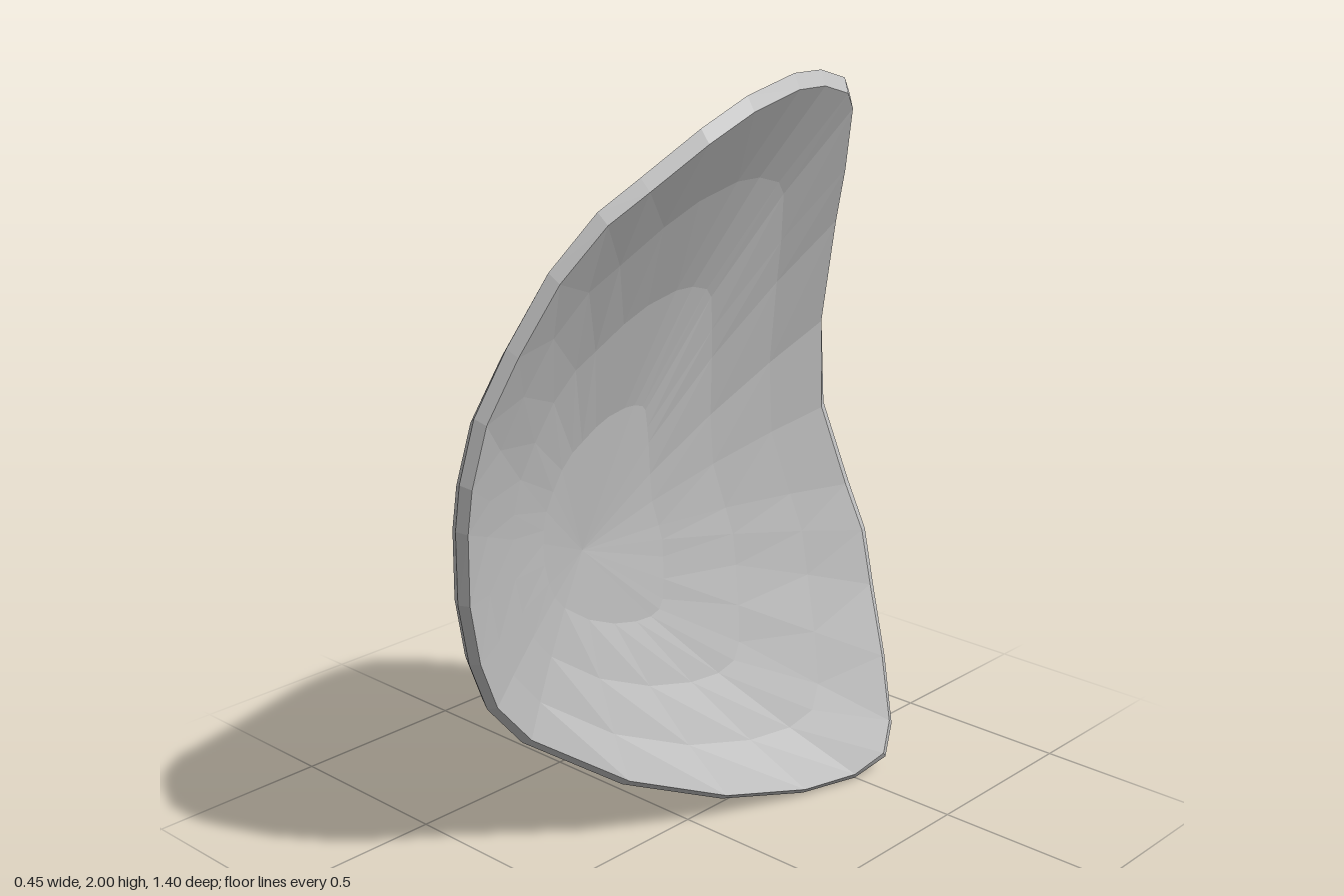
import * as THREE from 'three';

// Rim of the shell, counter-clockwise seen from +x: [z, y, x, rim thickness factor]
const RIM = [
  [-0.32, 1.995, 0.15, 1], [-0.2, 2, 0.165, 1], [0, 1.97, 0.19, 1], [0.15, 1.91, 0.18, 1],
  [0.3, 1.81, 0.13, 1], [0.4, 1.74, 0.09, 1], [0.51, 1.61, 0.04, 1], [0.6, 1.44, -0.01, 1],
  [0.67, 1.28, -0.05, 1], [0.7, 1.12, -0.075, 1], [0.7, 1, -0.095, 1], [0.68, 0.8, -0.12, 1],
  [0.63, 0.62, -0.145, 1], [0.56, 0.47, -0.165, 1], [0.45, 0.34, -0.16, 1], [0.2, 0.165, -0.05, 1],
  [-0.08, 0.05, 0.05, 1], [-0.33, 0, 0.13, 0.8], [-0.5, 0, 0.18, 0.6], [-0.6, 0.04, 0.21, 0.4],
  [-0.65, 0.12, 0.19, 0.4], [-0.68, 0.3, 0.135, 0.4], [-0.7, 0.5, 0.07, 0.4], [-0.7, 0.66, 0.035, 0.4],
  [-0.67, 0.8, -0.005, 0.4], [-0.6, 1.04, -0.045, 0.5], [-0.57, 1.3, -0.035, 0.7],
  [-0.53, 1.6, 0.03, 1], [-0.5, 1.75, 0.08, 1], [-0.46, 1.92, 0.13, 1], [-0.42, 1.965, 0.145, 1],
];
const CENTRE = { y: 0.8, z: 0.22 };

// Rings from the middle of the hollow face, over the rim, to the middle of the back:
// [distance from the middle, side: 1 hollow, 0 rim crest, -1 back]
const RINGS = [
  [0, 1], [0.3, 1], [0.55, 1], [0.78, 1], [0.97, 1], [1, 0],
  [0.955, -1], [0.78, -1], [0.55, -1], [0.3, -1], [0, -1],
];

function ringPoint([t, side], [z, y, x, w]) {
  let px = x;
  if (side !== 0) {
    const middle = side > 0 ? -0.165 : -0.228;
    const edge = side > 0 ? x + 0.028 * w : x - 0.036 * w;
    const end = side > 0 ? 0.97 : 0.955;
    px = middle + (edge - middle) * (t / end) ** 2;
  }
  return [px, CENTRE.y + (y - CENTRE.y) * t, CENTRE.z + (z - CENTRE.z) * t];
}

function shellGeometry() {
  const n = RIM.length;
  const positions = [];
  const index = [];
  for (const ring of RINGS) for (const p of RIM) positions.push(...ringPoint(ring, p));
  for (let r = 0; r < RINGS.length - 1; r++) {
    for (let i = 0; i < n; i++) {
      const j = (i + 1) % n;
      const a = r * n + i, b = a + n, c = (r + 1) * n + j, d = r * n + j;
      if (r < RINGS.length - 2) index.push(a, b, c);
      if (r > 0) index.push(a, c, d);
    }
  }
  const geometry = new THREE.BufferGeometry();
  geometry.setAttribute('position', new THREE.Float32BufferAttribute(positions, 3));
  geometry.setIndex(index);
  // Separate faces give the faceted look
  const faceted = geometry.toNonIndexed();
  faceted.computeVertexNormals();
  return faceted;
}

export function createModel() {
  const group = new THREE.Group();
  group.name = 'curvedPlate';
  const grey = new THREE.MeshStandardMaterial({ color: 0xc0c0c0 });
  grey.name = 'light grey';
  const shell = new THREE.Mesh(shellGeometry(), grey);
  shell.name = 'shell';
  group.add(shell);
  return group;
}
